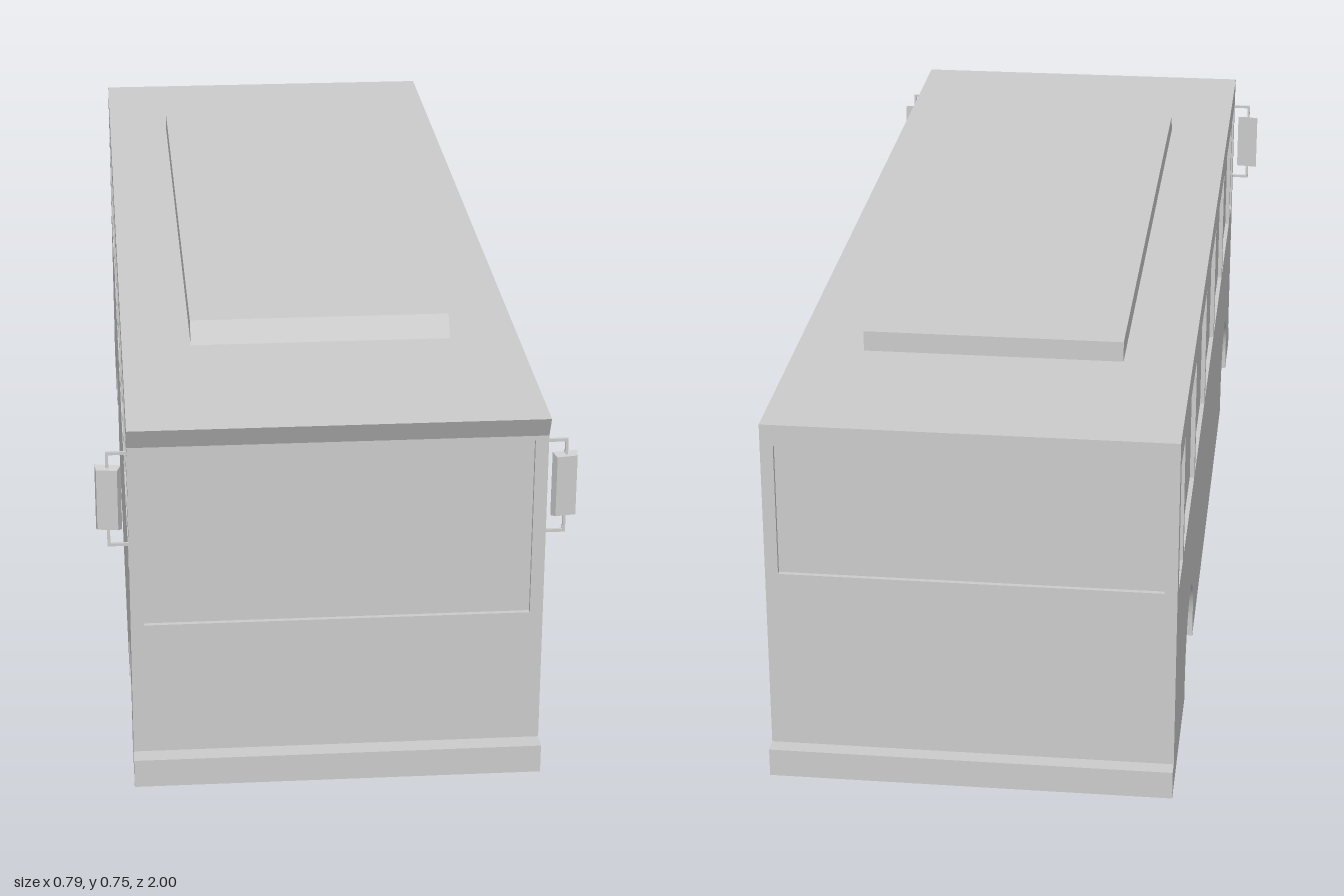
import * as THREE from 'three';
import { toCreasedNormals } from 'three/addons/utils/BufferGeometryUtils.js';

const HALF = 0.344, WELL = 0.24, INSET = 0.008;
const FLOOR = 0.067, BUMPER = 0.117, ROOF = 0.712;
const FRONT = 0.968, BACK = -0.972;
const AXLES = [0.731, -0.546];
const grey = new THREE.MeshStandardMaterial({ color: 0xcccccc });

function add(parent, name, geometry) {
  const mesh = new THREE.Mesh(geometry, grey);
  mesh.name = name;
  parent.add(mesh);
  return mesh;
}

function rect(a0, b0, a1, b1, Type = THREE.Shape) {
  return new Type([[a0, b0], [a1, b0], [a1, b1], [a0, b1]].map(p => new THREE.Vector2(...p)));
}

// Extrude a (z, y) shape across the bus from x0 to x1
function acrossX(shape, x0, x1) {
  const g = new THREE.ExtrudeGeometry(shape, { depth: x1 - x0, bevelEnabled: false, curveSegments: 16 });
  g.rotateY(-Math.PI / 2).translate(x1, 0, 0);
  return toCreasedNormals(g, 0.6);
}

// Side outline of the body, optionally with wheel arches
function bodyProfile(arches) {
  const s = new THREE.Shape();
  s.moveTo(1, FLOOR);
  if (arches) {
    const r = 0.12, y = 0.102;
    for (const z of AXLES) {
      s.lineTo(z + r, FLOOR);
      s.lineTo(z + r, y);
      s.absarc(z, y, r, 0, Math.PI, false);
      s.lineTo(z - r, FLOOR);
    }
  }
  s.lineTo(-1, FLOOR);
  s.lineTo(-1, BUMPER);
  s.lineTo(BACK + INSET, BUMPER);
  s.lineTo(BACK + INSET, ROOF);
  s.lineTo(0.987, ROOF);
  s.lineTo(FRONT, 0.675);
  s.lineTo(FRONT - INSET, 0.675);
  s.lineTo(FRONT - INSET, BUMPER);
  s.lineTo(1, BUMPER);
  s.closePath();
  return s;
}

// Thin end wall with a window opening
function endWall(top, winBottom, winTop, z) {
  const s = rect(-HALF, BUMPER, HALF, top);
  s.holes.push(rect(-0.322, winBottom, 0.322, winTop, THREE.Path));
  return new THREE.ExtrudeGeometry(s, { depth: INSET, bevelEnabled: false }).translate(0, 0, z);
}

function createMirror(side) {
  const g = new THREE.Group();
  g.name = side > 0 ? 'leftMirror' : 'rightMirror';
  // Housing tapers towards the front
  const shell = new THREE.BoxGeometry(0.043, 0.114, 0.014);
  const p = shell.attributes.position;
  for (let i = 0; i < p.count; i++) {
    if (p.getZ(i) > 0) p.setXY(i, p.getX(i) * 0.8, p.getY(i) * 0.93);
  }
  shell.computeVertexNormals();
  const housing = add(g, 'mirrorHousing', shell);
  housing.position.set(side * 0.376, 0.58, 0.953);
  housing.rotation.y = side * 0.15;
  // Bracket: two arms and an upright
  for (const y of [0.66, 0.497]) {
    add(g, 'mirrorArm', new THREE.BoxGeometry(0.037, 0.005, 0.005)).position.set(side * 0.36, y, 0.952);
  }
  add(g, 'mirrorUpright', new THREE.BoxGeometry(0.005, 0.168, 0.005)).position.set(side * 0.376, 0.5785, 0.952);
  return g;
}

export function createModel() {
  const bus = new THREE.Group();
  bus.name = 'bus';

  // Body: solid core, flanks with wheel wells, thin skins with window openings
  const body = new THREE.Group();
  body.name = 'body';
  bus.add(body);
  add(body, 'bodyCore', acrossX(bodyProfile(false), -WELL, WELL));

  const flank = bodyProfile(true);
  const skin = bodyProfile(true);
  const windows = [[0.84, 0.94], [-0.94, -0.83]];
  for (let i = 0; i < 5; i++) windows.push([0.513 - i * 0.33, 0.818 - i * 0.33]);
  for (const [z0, z1] of windows) skin.holes.push(rect(z0, 0.43, z1, 0.66, THREE.Path));

  for (const side of [1, -1]) {
    const span = (a, b) => (side > 0 ? [a, b] : [-b, -a]);
    add(body, 'flank', acrossX(flank, ...span(WELL, HALF - INSET)));
    add(body, 'sideSkin', acrossX(skin, ...span(HALF - INSET, HALF)));
  }
  add(body, 'frontWall', endWall(0.675, 0.354, 0.667, FRONT - INSET));
  add(body, 'rearWall', endWall(ROOF, 0.44, 0.675, BACK));

  // Roof unit with a sloped front edge
  const pod = new THREE.Shape();
  pod.moveTo(-0.647, ROOF);
  pod.lineTo(0.618, ROOF);
  pod.lineTo(0.592, 0.748);
  pod.lineTo(-0.647, 0.748);
  pod.closePath();
  add(bus, 'roofUnit', acrossX(pod, -0.225, 0.225));

  for (const side of [1, -1]) {
    for (const z of AXLES) {
      const tyre = new THREE.CylinderGeometry(0.104, 0.104, 0.086, 18).rotateZ(Math.PI / 2);
      add(bus, z > 0 ? 'frontWheel' : 'rearWheel', tyre).position.set(side * 0.29, 0.104, z);
    }
    bus.add(createMirror(side));
  }
  return bus;
}
